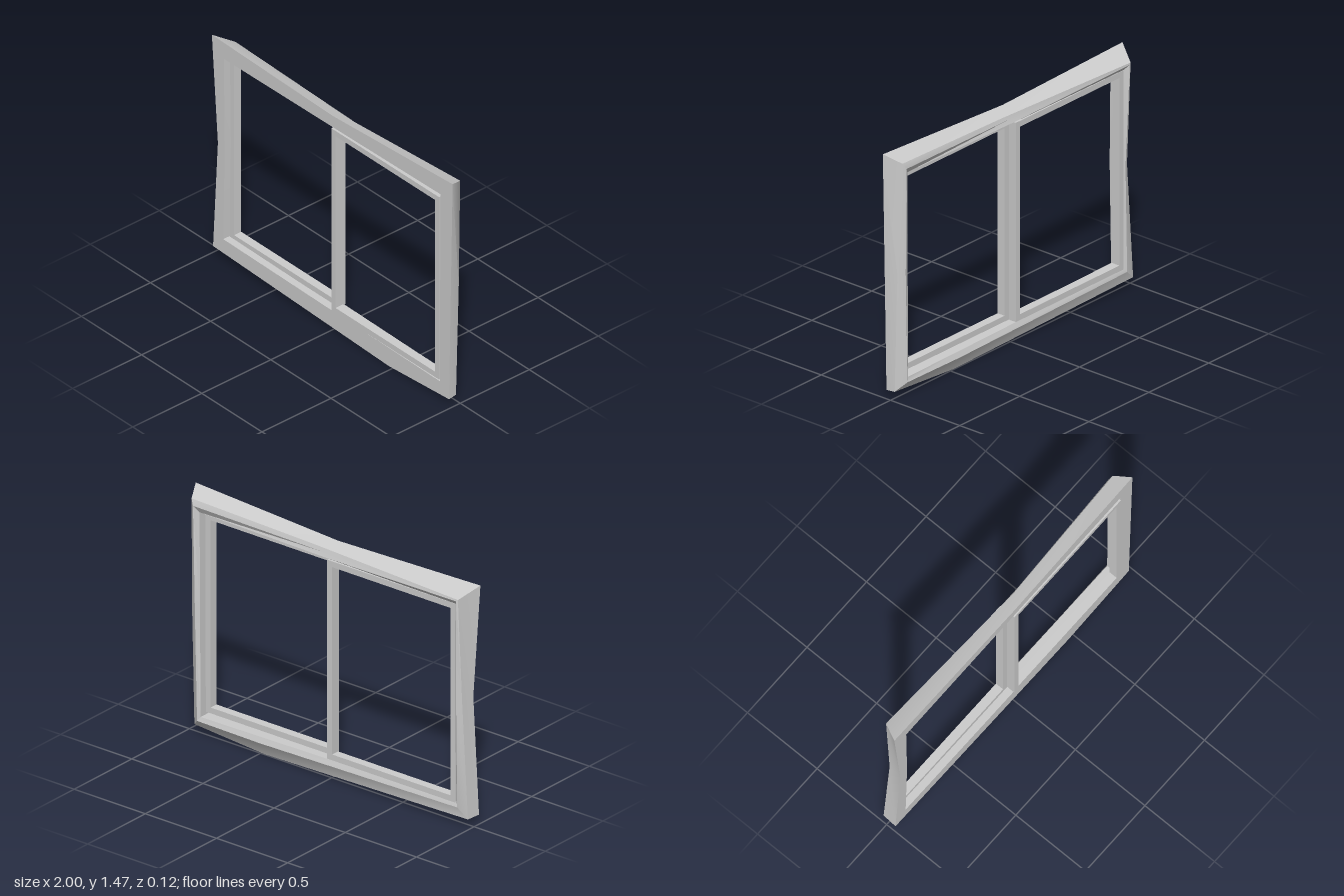
import * as THREE from 'three';
import { toCreasedNormals } from 'three/addons/utils/BufferGeometryUtils.js';

const material = new THREE.MeshStandardMaterial({ color: 0xcccccc });
const FRONT = 0.055;

// Stations clockwise round the crooked frame:
// outer front edge [x, y], back shoulder [x, y, z], back ridge [x, y, z], inner edge [x, y]
const stations = [
  { outer: [-1, 1.435], shoulder: [-0.935, 1.37, -0.06], ridge: [-0.925, 1.36, -0.063], inner: [-0.9, 1.327] },
  { outer: [0, 1.41], shoulder: [0.1, 1.385, -0.02], ridge: [0.05, 1.36, -0.026], inner: [0, 1.336] },
  { outer: [1, 1.465], shoulder: [0.95, 1.42, -0.043], ridge: [0.93, 1.385, -0.055], inner: [0.9, 1.348] },
  { outer: [0.985, 0.75], shoulder: [0.965, 0.75, -0.02], ridge: [0.925, 0.75, -0.045], inner: [0.897, 0.75] },
  { outer: [0.97, 0.035], shoulder: [0.965, 0.038, 0], ridge: [0.91, 0.09, -0.045], inner: [0.893, 0.115] },
  { outer: [0.47, 0], shoulder: [0.47, 0.002, 0], ridge: [0.47, 0.085, -0.045], inner: [0.47, 0.12] },
  { outer: [-0.99, 0.05], shoulder: [-0.985, 0.052, -0.035], ridge: [-0.92, 0.11, -0.048], inner: [-0.905, 0.138] },
  { outer: [-0.95, 0.75], shoulder: [-0.94, 0.75, -0.03], ridge: [-0.91, 0.75, -0.045], inner: [-0.893, 0.75] },
];

// Closed ring swept through the station cross-sections
function frameGeometry() {
  const rings = stations.map(({ outer, shoulder, ridge, inner }) => [
    [...outer, FRONT], shoulder, ridge, [...inner, -0.035], [...inner, FRONT],
  ]);
  const positions = [];
  rings.forEach((a, i) => {
    const b = rings[(i + 1) % rings.length];
    a.forEach((p, j) => {
      const k = (j + 1) % a.length;
      positions.push(...p, ...b[j], ...b[k], ...p, ...b[k], ...a[k]);
    });
  });
  const geometry = new THREE.BufferGeometry();
  geometry.setAttribute('position', new THREE.Float32BufferAttribute(positions, 3));
  return toCreasedNormals(geometry, 0.55);
}

function rectangle(target, x0, y0, x1, y1) {
  target.moveTo(x0, y0);
  target.lineTo(x1, y0);
  target.lineTo(x1, y1);
  target.lineTo(x0, y1);
  target.closePath();
  return target;
}

// Rectangular sash with an open pane
function sash(name, x0, x1, back, front) {
  const rail = 0.035;
  const y0 = 0.13, y1 = 1.33;
  const shape = rectangle(new THREE.Shape(), x0, y0, x1, y1);
  shape.holes.push(rectangle(new THREE.Path(), x0 + rail, y0 + rail, x1 - rail, y1 - rail));
  const geometry = new THREE.ExtrudeGeometry(shape, { depth: front - back, bevelEnabled: false });
  geometry.translate(0, 0, back);
  const mesh = new THREE.Mesh(geometry, material);
  mesh.name = name;
  return mesh;
}

export function createModel() {
  const group = new THREE.Group();
  group.name = 'slidingWindow';

  const frame = new THREE.Mesh(frameGeometry(), material);
  frame.name = 'outerFrame';
  group.add(frame);

  // Two sliding sashes, the model's left one in front of the right one
  group.add(sash('rightSash', -0.9, 0, -0.04, 0.011));
  group.add(sash('leftSash', 0, 0.895, 0.011, 0.062));
  return group;
}
